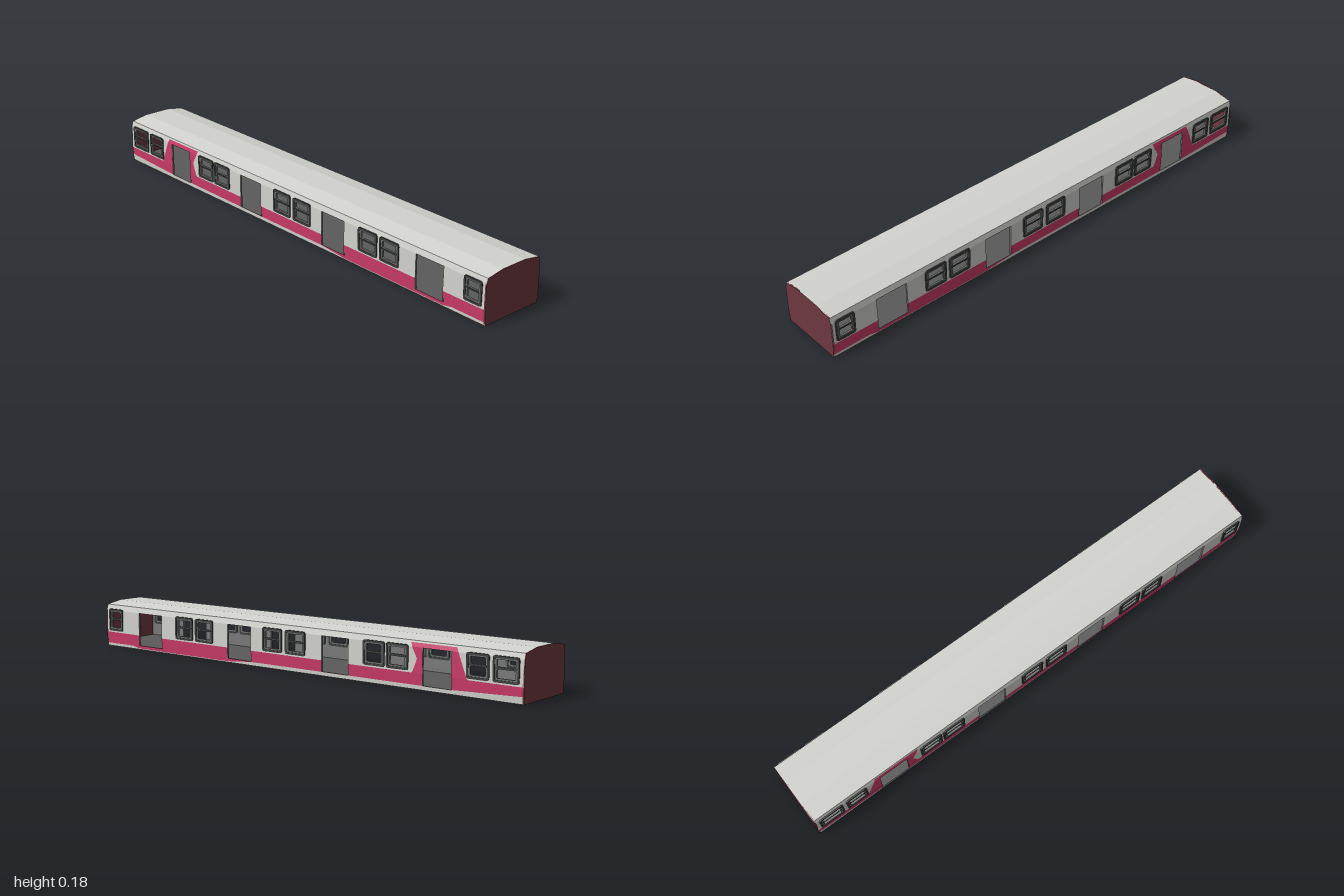
import * as THREE from 'three';

const mat = (name, color, side = THREE.FrontSide) => {
  const m = new THREE.MeshStandardMaterial({ color, side });
  m.name = name;
  return m;
};

// Side wall outline [y, z]: leans out to the waist, then in to the roof
const PROFILE = [[0, 0.13], [0.058, 0.1335], [0.15, 0.132], [0.172, 0.126]];
// Lower edge of the coloured band [x, y]
const BAND = [[-1, 0.026], [-0.72, 0.016], [0.2, 0.014], [0.32, 0.004], [0.81, 0.004], [0.85, 0.012], [1, 0.012]];
const DOORS = [[-0.715, -0.595], [-0.27, -0.147], [0.2, 0.32], [0.68, 0.81]];
const WINDOWS = [[-0.983, -0.88], [-0.866, -0.775], [-0.535, -0.44], [-0.433, -0.337],
  [-0.07, 0.027], [0.043, 0.14], [0.396, 0.492], [0.505, 0.6], [0.904, 0.984]];
const WIN_Y = [0.064, 0.155];
const SILL = 0.016, WAIST = 0.058, DOOR_TOP = 0.15;

function lerpTable(table, t) {
  let i = 1;
  while (i < table.length - 1 && t > table[i][0]) i++;
  const [a, va] = table[i - 1], [b, vb] = table[i];
  return va + (vb - va) * (t - a) / (b - a);
}
const wallZ = (y) => lerpTable(PROFILE, y);

const shapeOf = (pts) => new THREE.Shape(pts.map(([x, y]) => new THREE.Vector2(x, y)));

function rounded(Type, x0, x1, y0, y1, r) {
  const p = new Type();
  p.moveTo(x0 + r, y0).lineTo(x1 - r, y0).quadraticCurveTo(x1, y0, x1, y0 + r);
  p.lineTo(x1, y1 - r).quadraticCurveTo(x1, y1, x1 - r, y1);
  p.lineTo(x0 + r, y1).quadraticCurveTo(x0, y1, x0, y1 - r);
  p.lineTo(x0, y0 + r).quadraticCurveTo(x0, y0, x0 + r, y0);
  return p;
}

// Flat shape laid onto the leaning wall, offset outwards
function skin(shape, offset = 0) {
  const g = new THREE.ShapeGeometry(shape, 4);
  const p = g.attributes.position;
  for (let i = 0; i < p.count; i++) p.setZ(i, wallZ(p.getY(i)) + offset);
  g.computeVertexNormals();
  return g;
}

export function createModel() {
  const body = mat('body light grey', 0xd2d2ce, THREE.DoubleSide);
  const red = mat('crimson band', 0xcb3b69, THREE.DoubleSide);
  const endRed = mat('dark red end', 0x6e3840);
  const lining = mat('interior grey', 0x777877, THREE.DoubleSide);
  const floorGrey = mat('floor grey', 0x5a5a5a);
  const rubber = mat('window rubber', 0x3c403e);
  const frameGrey = mat('window frame grey', 0x707472);

  const model = new THREE.Group();
  model.name = 'railCar';
  const add = (parent, name, geometry, material) => {
    const m = new THREE.Mesh(geometry, material);
    m.name = name;
    parent.add(m);
    return m;
  };

  // Floor slab
  add(model, 'floor', new THREE.BoxGeometry(1.996, SILL - 0.001, 0.259).translate(0, (SILL - 0.001) / 2, 0), floorGrey);

  // Roof shell with the strip above the doors
  const outer = [[0.132, 0.15], [0.126, 0.172], [0.055, 0.184]];
  const inner = [[0.054, 0.179], [0.121, 0.168], [0.127, 0.15]];
  const mirror = (pts) => pts.map(([z, y]) => [-z, y]).reverse();
  const roofShape = shapeOf([...outer, ...mirror(outer), ...mirror(inner), ...inner]);
  const alongX = (shape, length, x) =>
    new THREE.ExtrudeGeometry(shape, { depth: length, bevelEnabled: false })
      .rotateY(Math.PI / 2).translate(x, 0, 0);
  add(model, 'roof', alongX(roofShape, 2, -1), body);

  // Closed ends
  const half = [...PROFILE.map(([y, z]) => [z, y]), [0.055, 0.184]];
  const endShape = shapeOf([...half, ...mirror(half)]);
  add(model, 'rightEnd', alongX(endShape, 0.006, -1.0005), endRed);
  add(model, 'leftEnd', alongX(endShape, 0.006, 0.9945), endRed);

  for (const side of [1, -1]) {
    const wall = new THREE.Group();
    wall.name = side > 0 ? 'frontWall' : 'backWall';
    wall.scale.z = side;
    model.add(wall);

    // Alternate wall bays and door openings along the car
    const cuts = [-1, ...DOORS.flat(), 1];
    for (let i = 0; i < cuts.length - 1; i++) {
      const x0 = cuts[i], x1 = cuts[i + 1], isDoor = i % 2 === 1;
      const top = isDoor ? SILL : WAIST;
      const xs = [x0, ...BAND.map((b) => b[0]).filter((x) => x > x0 + 1e-4 && x < x1 - 1e-4), x1];
      const edge = xs.map((x) => [x, Math.min(lerpTable(BAND, x), top)]);
      add(wall, 'skirt', skin(shapeOf([[x0, 0], [x1, 0], ...[...edge].reverse()])), body);
      if (edge.some(([, y]) => y < top - 1e-4)) {
        add(wall, 'band', skin(shapeOf([...edge, [x1, top], [x0, top]])), red);
      }
      if (isDoor) continue;

      // Upper panel and inner lining, pierced for the windows
      const rect = (y0) => shapeOf([[x0, y0], [x1, y0], [x1, DOOR_TOP], [x0, DOOR_TOP]]);
      const upper = rect(WAIST), liner = rect(SILL);
      for (const [a, b] of WINDOWS) {
        if (a < x0 || b > x1) continue;
        for (const s of [upper, liner]) {
          s.holes.push(rounded(THREE.Path, a + 0.008, b - 0.008, WIN_Y[0] + 0.008, WIN_Y[1] - 0.008, 0.006));
        }
      }
      add(wall, 'upperPanel', skin(upper), body);
      add(wall, 'lining', skin(liner, -0.006), lining);
    }

    // Door jambs and lintels closing the wall thickness
    for (const [a, b] of DOORS) {
      const h = DOOR_TOP - SILL, y = (DOOR_TOP + SILL) / 2;
      for (const x of [a - 0.0015, b + 0.0015]) {
        add(wall, 'doorJamb', new THREE.BoxGeometry(0.003, h, 0.007).translate(x, y, 0.1285), frameGrey);
      }
      add(wall, 'doorLintel', new THREE.BoxGeometry(b - a, 0.003, 0.006).translate((a + b) / 2, DOOR_TOP, 0.1285), frameGrey);
    }

    // Coloured surround of the first door
    const [d0, d1] = DOORS[0];
    const surround = [
      [[-0.78, 0.058], [d0, 0.058], [d0, 0.15], [-0.742, 0.15], [-0.77, 0.08]],
      [[d1, 0.058], [-0.548, 0.058], [-0.555, 0.065], [-0.572, 0.11], [-0.55, 0.15], [d1, 0.15]],
      [[-0.742, 0.15], [-0.55, 0.15], [-0.545, 0.165], [-0.735, 0.165]],
    ];
    for (const pts of surround) add(wall, 'doorSurround', skin(shapeOf(pts), 0.0008), red);

    // Windows: rubber ring outside, grey sash with two panes open inside
    for (const [a, b] of WINDOWS) {
      const [y0, y1] = WIN_Y, mid = 0.113;
      const ring = rounded(THREE.Shape, a, b, y0, y1, 0.01);
      ring.holes.push(rounded(THREE.Path, a + 0.008, b - 0.008, y0 + 0.008, y1 - 0.008, 0.006));
      const sash = rounded(THREE.Shape, a + 0.007, b - 0.007, y0 + 0.007, y1 - 0.007, 0.006);
      const p0 = a + 0.015, p1 = b - 0.015;
      sash.holes.push(rounded(THREE.Path, p0, p1, y0 + 0.014, mid - 0.004, 0.004));
      sash.holes.push(rounded(THREE.Path, p0, p1, mid + 0.004, y1 - 0.013, 0.004));
      const frame = (shape, depth, z) => new THREE.ExtrudeGeometry(shape, { depth, bevelEnabled: false, curveSegments: 4 }).translate(0, 0, z);
      add(wall, 'windowRubber', frame(ring, 0.0105, 0.1255), rubber);
      add(wall, 'windowSash', frame(sash, 0.0075, 0.1265), frameGrey);
      add(wall, 'windowBar', new THREE.BoxGeometry(p1 - p0 + 0.01, 0.005, 0.004).translate((a + b) / 2, mid, 0.1335), rubber);
    }
  }
  return model;
}
